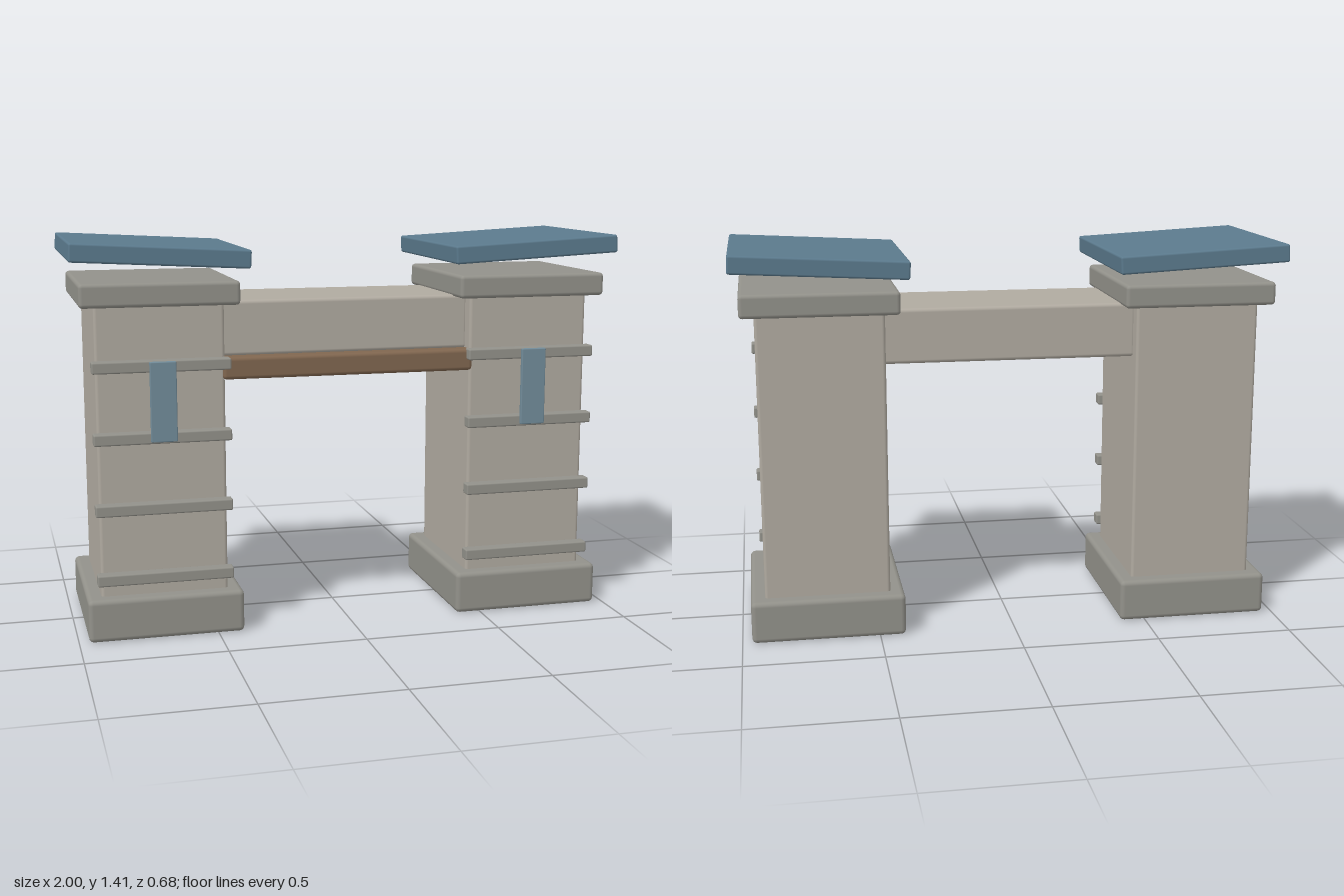
import * as THREE from 'three';
import { RoundedBoxGeometry } from 'three/addons/geometries/RoundedBoxGeometry.js';

const paint = (color) => new THREE.MeshStandardMaterial({ color });

export function createModel() {
  const gate = new THREE.Group();
  gate.name = 'gateway';

  const stone = paint(0xb0aaa0);
  const trim = paint(0x92918a);
  const slate = paint(0x5b7a8d);
  const cloth = paint(0x728c9a);
  const wood = paint(0x80664f);

  // Soft-edged block given by its size and centre
  function block(parent, name, material, size, centre, bevel) {
    const mesh = new THREE.Mesh(new RoundedBoxGeometry(...size, 2, bevel), material);
    mesh.name = name;
    mesh.position.set(...centre);
    parent.add(mesh);
    return mesh;
  }

  // Two mirrored towers
  for (const side of [-1, 1]) {
    const tower = new THREE.Group();
    tower.name = side > 0 ? 'leftTower' : 'rightTower';
    tower.position.x = side * 0.685;
    gate.add(tower);

    block(tower, 'plinth', trim, [0.56, 0.155, 0.615], [0, 0.0775, 0], 0.018);
    block(tower, 'shaft', stone, [0.457, 1.07, 0.513], [0, 0.675, 0], 0.012);
    block(tower, 'capital', trim, [0.56, 0.084, 0.604], [0, 1.23, 0], 0.014);

    // Raised courses across the front face
    for (const y of [0.223, 0.475, 0.729, 0.982]) {
      block(tower, 'course', trim, [0.487, 0.041, 0.048], [0, y, 0.278], 0.006);
    }

    block(tower, 'banner', cloth, [0.093, 0.283, 0.017], [0, 0.86, 0.317], 0.004);

    // Roof slab floats above the capital and rises outward
    const roof = block(tower, 'roofSlab', slate, [0.625, 0.065, 0.683], [0, 1.365, 0], 0.008);
    roof.rotation.z = side * 0.053;
  }

  // Bridge between the towers with a timber along its front lower edge
  block(gate, 'lintel', stone, [0.93, 0.2, 0.41], [0, 1.095, 0], 0.014);
  block(gate, 'timber', wood, [0.93, 0.08, 0.07], [0, 0.96, 0.235], 0.014);

  return gate;
}
